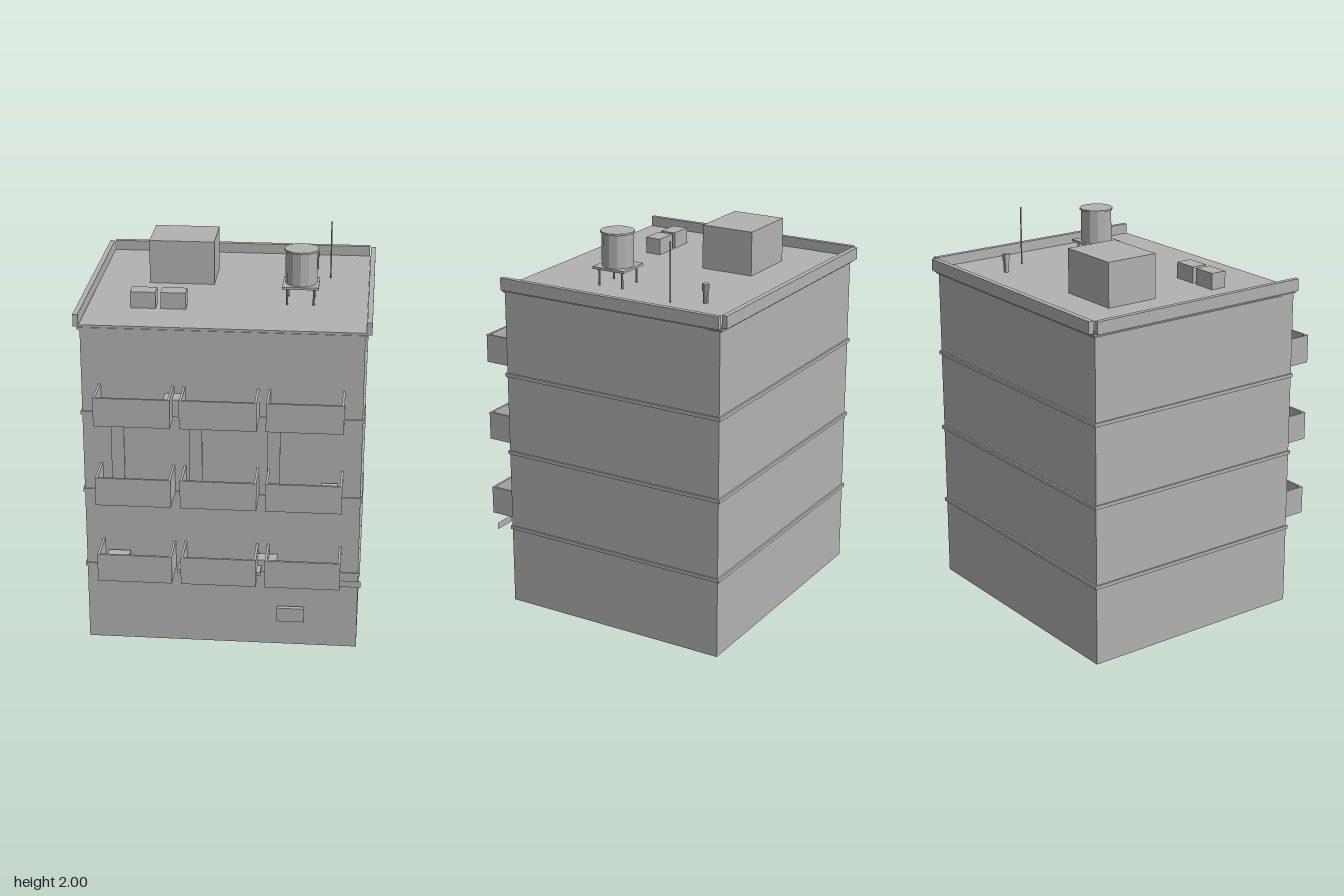
import * as THREE from 'three';

export function createModel() {
  const model = new THREE.Group();
  model.name = 'apartmentBlock';
  const concrete = new THREE.MeshStandardMaterial({ color: 0xb2b2b2, flatShading: true, side: THREE.DoubleSide });
  concrete.name = 'concrete grey';

  const add = (name, geometry, parent = model) => {
    const mesh = new THREE.Mesh(geometry, concrete);
    mesh.name = name;
    parent.add(mesh);
    return mesh;
  };
  // Box given by its limits on each axis
  const box = (name, x0, x1, y0, y1, z0, z1, parent) => {
    const mesh = add(name, new THREE.BoxGeometry(x1 - x0, y1 - y0, z1 - z0), parent);
    mesh.position.set((x0 + x1) / 2, (y0 + y1) / 2, (z0 + z1) / 2);
    return mesh;
  };
  // Upright cylinder from y0 to y1
  const post = (name, x, z, r, y0, y1, sides, parent) => {
    const mesh = add(name, new THREE.CylinderGeometry(r, r, y1 - y0, sides), parent);
    mesh.position.set(x, (y0 + y1) / 2, z);
    return mesh;
  };

  // Main block, storey bands and cornice
  box('walls', -0.685, 0.685, 0, 1.672, -0.68, 0.53);
  for (const y of [0.405, 0.82, 1.235]) box('storeyBand', -0.693, 0.693, y, y + 0.018, -0.69, 0.536);
  box('cornice', -0.698, 0.698, 1.678, 1.688, -0.694, 0.537);
  box('roofSlab', -0.69, 0.69, 1.67, 1.7, -0.69, 0.533);

  // Parapets on the sides and back
  for (const s of [-1, 1]) {
    const inner = s * 0.692, outer = s * 0.717;
    box('sideParapet', Math.min(inner, outer), Math.max(inner, outer), 1.69, 1.752, -0.688, 0.532);
  }
  box('backParapet', -0.687, 0.687, 1.69, 1.752, -0.717, -0.69);

  // Balconies: floor, front and two side walls
  const t = 0.012;
  for (const y of [0.42, 0.835, 1.253]) {
    for (const [x0, x1] of [[-0.602, -0.232], [-0.188, 0.184], [0.227, 0.598]]) {
      const balcony = new THREE.Group();
      balcony.name = 'balcony';
      model.add(balcony);
      box('balconyFloor', x0, x1, y, y + t, 0.53, 0.717, balcony);
      box('balconyFront', x0, x1, y, y + 0.145, 0.717 - t, 0.717, balcony);
      box('balconySide', x0, x0 + t, y, y + 0.145, 0.53, 0.717 - t, balcony);
      box('balconySide', x1 - t, x1, y, y + 0.145, 0.53, 0.717 - t, balcony);
    }
  }

  // Thin wall strips and hanging plates under the lowest balconies
  for (const x of [-0.545, -0.16, 0.223]) box('wallStrip', x, x + 0.064, 0.803, 1.188, 0.532, 0.54);
  for (const x of [-0.48, -0.128, 0.224, 0.574]) {
    const plate = add('hangingPlate', new THREE.PlaneGeometry(0.125, 0.035));
    plate.position.set(x + 0.0625, 0.403, 0.615);
  }

  // Things on the balconies and the facade
  box('airConditioner', -0.277, -0.188, 1.27, 1.36, 0.53, 0.612);
  box('balconyCrate', -0.57, -0.46, 0.43, 0.51, 0.55, 0.64);
  box('balconyCrate', 0.17, 0.28, 0.45, 0.515, 0.54, 0.61);
  box('balconyCrate', 0.49, 0.57, 0.845, 0.92, 0.55, 0.62);
  box('balconyShelf', -0.208, 0.204, 0.467, 0.485, 0.61, 0.685);
  box('wallBox', 0.28, 0.418, 0.15, 0.225, 0.545, 0.57);

  // Roof hut and ventilation units
  box('roofHut', -0.43, -0.098, 1.695, 1.925, -0.415, -0.135);
  for (const x of [-0.476, -0.326]) box('roofUnit', x, x + 0.125, 1.7, 1.783, 0.18, 0.264);

  // Water tank on a legged platform
  const tank = new THREE.Group();
  tank.name = 'waterTank';
  model.add(tank);
  const cx = 0.356, cz = 0.082;
  box('tankPlatform', cx - 0.09, cx + 0.09, 1.785, 1.797, cz - 0.09, cz + 0.09, tank);
  for (const sx of [-1, 1]) for (const sz of [-1, 1])
    post('tankLeg', cx + sx * 0.066, cz + sz * 0.066, 0.006, 1.7, 1.785, 6, tank);
  post('tankBarrel', cx, cz, 0.079, 1.797, 1.962, 12, tank);
  post('tankLid', cx, cz, 0.086, 1.962, 1.972, 12, tank);

  // Vent pipe and antenna
  post('ventPipe', 0.41, -0.445, 0.013, 1.7, 1.785, 10);
  post('ventCap', 0.41, -0.445, 0.017, 1.76, 1.795, 10);
  post('antenna', 0.491, -0.297, 0.004, 1.7, 2.0, 6);

  return model;
}
